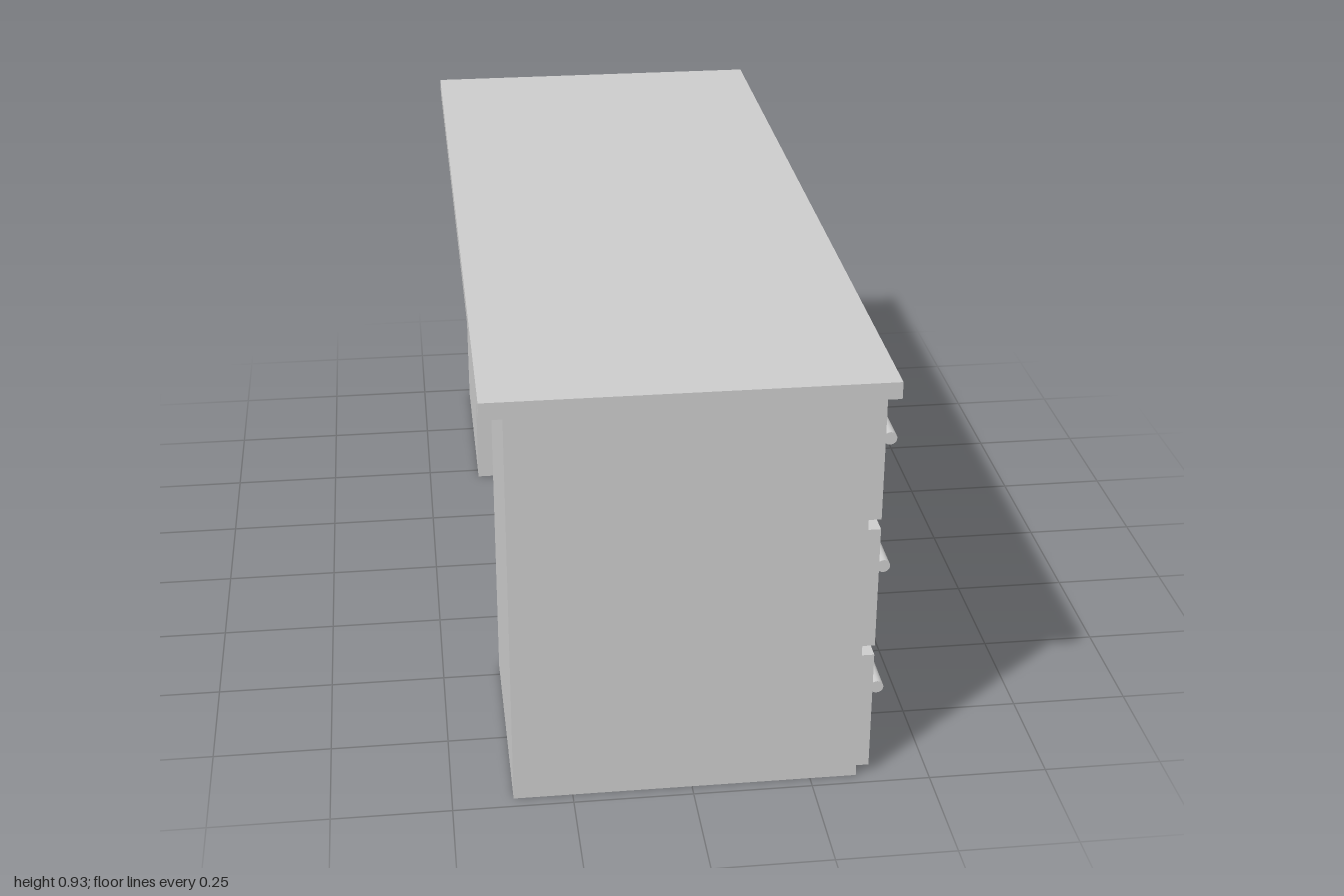
import * as THREE from 'three';

export function createModel() {
  const desk = new THREE.Group();
  desk.name = 'desk';
  const material = new THREE.MeshStandardMaterial({ color: 0xcccccc });

  // Box given by its limits on each axis
  function box(name, [x0, x1], [y0, y1], [z0, z1], parent = desk) {
    const mesh = new THREE.Mesh(new THREE.BoxGeometry(x1 - x0, y1 - y0, z1 - z0), material);
    mesh.name = name;
    mesh.position.set((x0 + x1) / 2, (y0 + y1) / 2, (z0 + z1) / 2);
    parent.add(mesh);
    return mesh;
  }

  function rod(name, radius, length, axis, [x, y, z], parent) {
    const mesh = new THREE.Mesh(new THREE.CylinderGeometry(radius, radius, length, 24), material);
    mesh.name = name;
    if (axis === 'x') mesh.rotation.z = Math.PI / 2;
    else mesh.rotation.x = Math.PI / 2;
    mesh.position.set(x, y, z);
    parent.add(mesh);
  }

  const back = -0.373, front = 0.348, under = 0.89;
  const inner = 0.464, outer = 0.973;

  // Worktop
  box('worktop', [-0.42, 0.396], [under, 0.926], [-1, 1]);

  // Drawer pedestal
  box('drawerPedestal', [back, front], [0, under], [inner, outer]);

  // Three drawers with bar handles
  for (let i = 0; i < 3; i++) {
    const y = 0.019 + i * 0.2945;
    const drawer = new THREE.Group();
    drawer.name = 'drawer';
    box('drawerFront', [front, 0.376], [y, y + 0.272], [0.472, 0.965], drawer);
    const handleY = y + 0.136;
    rod('handleBar', 0.014, 0.324, 'z', [0.406, handleY, 0.718], drawer);
    for (const side of [-1, 1])
      rod('handlePost', 0.005, 0.03, 'x', [0.39, handleY, 0.718 + side * 0.1], drawer);
    desk.add(drawer);
  }

  // Open cabinet: two sides, floor and back, closed above by the worktop
  const cabinet = new THREE.Group();
  cabinet.name = 'openCabinet';
  box('cabinetInnerSide', [back, front], [0, under], [-0.496, -inner], cabinet);
  box('cabinetOuterSide', [back, front], [0, under], [-outer, -0.935], cabinet);
  box('cabinetFloor', [back, front], [0, 0.068], [-0.935, -0.496], cabinet);
  box('cabinetBack', [back, back + 0.03], [0.068, under], [-0.935, -0.496], cabinet);
  desk.add(cabinet);

  // Modesty panel and shelf across the knee space
  box('modestyPanel', [-0.346, -0.28], [0.425, under], [-inner, inner]);
  box('kneeShelf', [-0.28, 0.317], [0.746, 0.768], [-inner, inner]);

  return desk;
}
